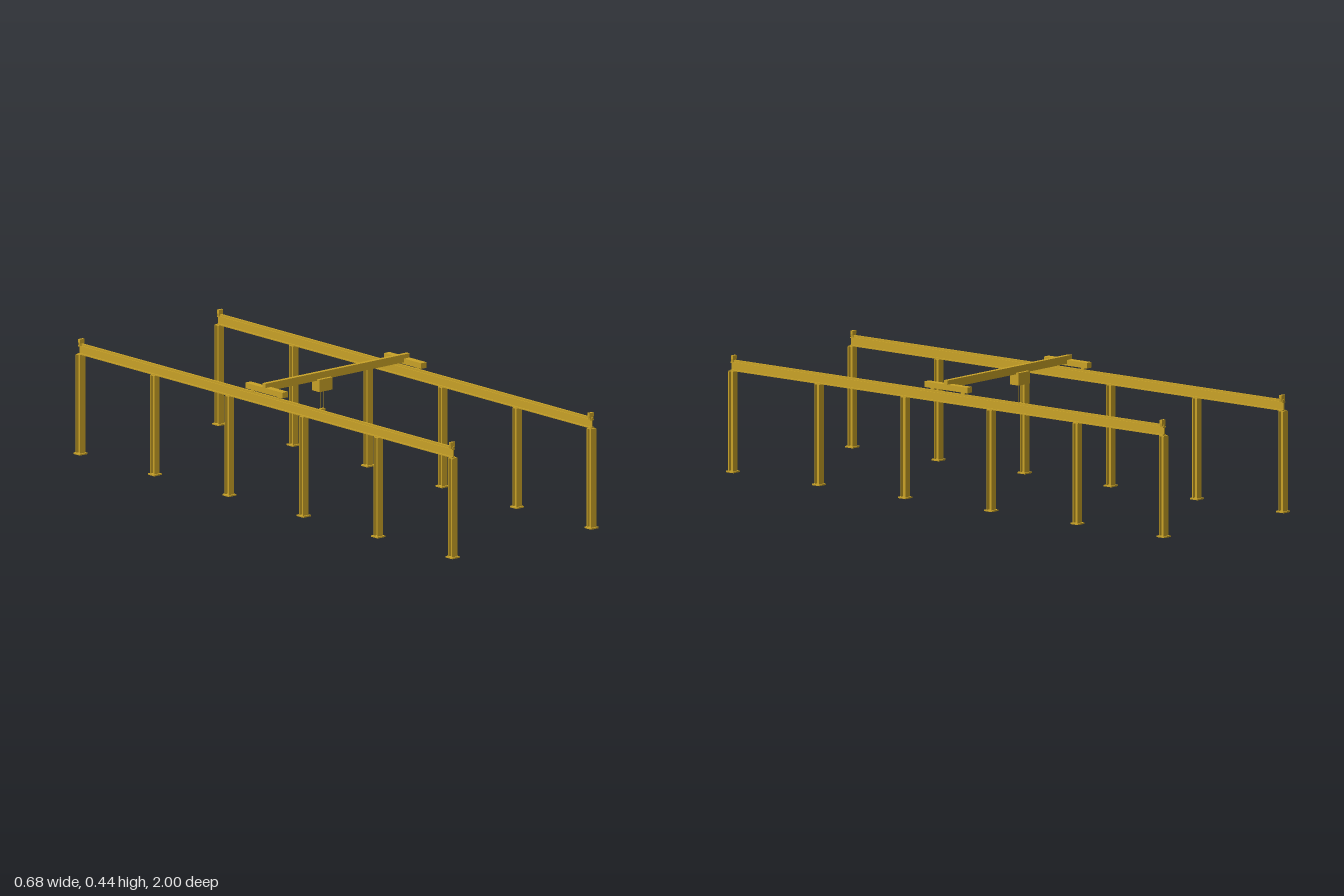
import * as THREE from 'three';

const paint = new THREE.MeshStandardMaterial({ color: 0xc9a227 });
paint.name = 'crane yellow';

function add(parent, name, geometry, x, y, z) {
  const mesh = new THREE.Mesh(geometry, paint);
  mesh.name = name;
  mesh.position.set(x, y, z);
  parent.add(mesh);
  return mesh;
}

const box = (parent, name, w, h, d, x, y, z) =>
  add(parent, name, new THREE.BoxGeometry(w, h, d), x, y, z);

// I-section (flanges at top and bottom of the profile) extruded along z and centred
function iBeam(width, height, length, flange, web) {
  const a = width / 2, b = height / 2, c = b - flange, t = web / 2;
  const shape = new THREE.Shape([
    [-a, -b], [a, -b], [a, -c], [t, -c], [t, c], [a, c],
    [a, b], [-a, b], [-a, c], [-t, c], [-t, -c], [-a, -c],
  ].map(([x, y]) => new THREE.Vector2(x, y)));
  return new THREE.ExtrudeGeometry(shape, { depth: length, bevelEnabled: false })
    .translate(0, 0, -length / 2);
}

export function createModel() {
  const crane = new THREE.Group();
  crane.name = 'gantryCrane';
  const railX = 0.32;

  // Shared sections
  const columnGeo = iBeam(0.025, 0.022, 0.351, 0.003, 0.003).rotateX(Math.PI / 2);
  const runwayGeo = iBeam(0.015, 0.032, 1.972, 0.004, 0.004);
  const stopGeo = new THREE.ExtrudeGeometry(new THREE.Shape([
    new THREE.Vector2(-0.0075, 0), new THREE.Vector2(0.0075, 0),
    new THREE.Vector2(0.0098, 0.012), new THREE.Vector2(0.0098, 0.024),
    new THREE.Vector2(-0.0098, 0.024), new THREE.Vector2(-0.0098, 0.012),
  ]), { depth: 0.01, bevelEnabled: false }).translate(0, 0, -0.005);
  const wheelGeo = new THREE.CylinderGeometry(0.01, 0.01, 0.008, 20).rotateZ(Math.PI / 2);

  for (const side of [-1, 1]) {
    const runway = new THREE.Group();
    runway.name = side > 0 ? 'leftRunway' : 'rightRunway';
    runway.position.x = side * railX;
    crane.add(runway);

    // Columns on base plates
    for (let i = 0; i < 6; i++) {
      const z = (i - 2.5) * 0.393;
      box(runway, 'basePlate', 0.035, 0.005, 0.035, 0, 0.0025, z);
      add(runway, 'column', columnGeo, 0, 0.1805, z);
      box(runway, 'capPlate', 0.023, 0.002, 0.022, 0, 0.357, z);
    }

    // Runway beam, rail and end stops
    add(runway, 'runwayBeam', runwayGeo, 0, 0.374, 0);
    box(runway, 'rail', 0.008, 0.007, 1.972, 0, 0.3935, 0);
    for (const end of [-1, 1]) add(runway, 'endStop', stopGeo, 0, 0.389, end * 0.978);

    // End truck with wheels
    box(runway, 'endTruck', 0.025, 0.02, 0.196, 0, 0.415, 0);
    for (const end of [-1, 1]) add(runway, 'wheel', wheelGeo, 0, 0.407, end * 0.07);
  }

  // Bridge girder
  box(crane, 'bridgeGirder', 0.666, 0.028, 0.016, 0, 0.426, 0);

  // Hoist with ropes and hook block
  const hoist = new THREE.Group();
  hoist.name = 'hoist';
  hoist.position.x = -0.0638;
  crane.add(hoist);
  box(hoist, 'hoistBody', 0.06, 0.044, 0.04, 0, 0.395, 0);
  for (const s of [-1, 1]) {
    add(hoist, 'rope', new THREE.CylinderGeometry(0.001, 0.001, 0.07, 8), s * 0.007, 0.34, 0);
  }
  box(hoist, 'hookBlock', 0.02, 0.011, 0.011, 0, 0.3015, 0);

  return crane;
}
